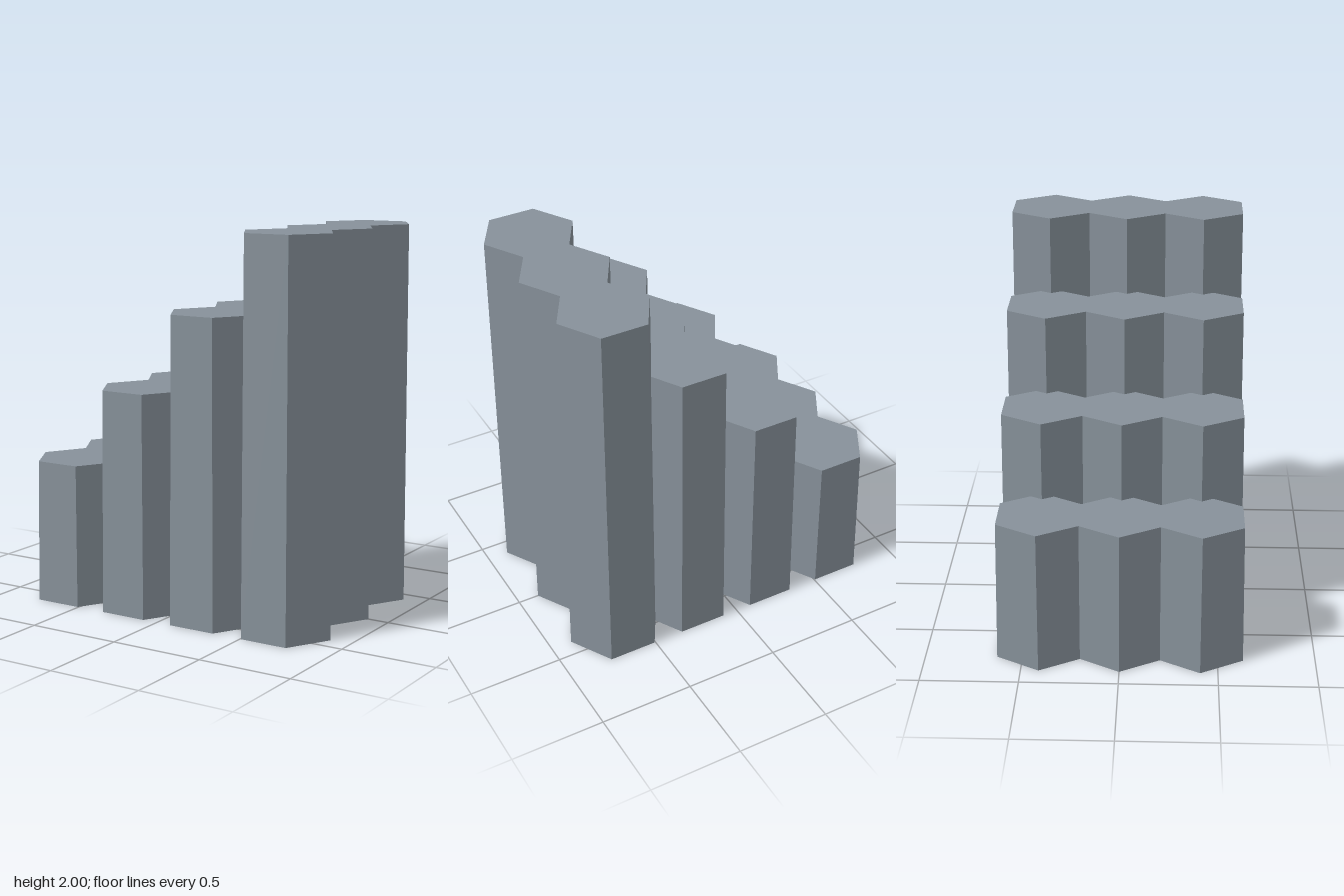
import * as THREE from 'three';

export function createModel() {
  const group = new THREE.Group();
  group.name = 'steppedStoneColumns';
  const stone = new THREE.MeshStandardMaterial({ color: 0x87919a, flatShading: true });
  stone.name = 'slate grey stone';

  const pitchX = 0.422, pitchZ = 0.41;
  const heights = [0.755, 1.17, 1.585, 2];

  // Rows of slightly tapered hexagonal columns, rising from right to left
  heights.forEach((height, i) => {
    const row = new THREE.Group();
    row.name = `columnRow${i + 1}`;
    const geometry = new THREE.CylinderGeometry(0.243, 0.255, height, 6);
    geometry.rotateY(Math.PI / 6); // corners point along x
    geometry.translate(0, height / 2, 0);
    for (let j = -1; j <= 1; j++) {
      const column = new THREE.Mesh(geometry, stone);
      column.name = `hexagonalColumn${j + 2}`;
      column.position.set((i - 1.5) * pitchX, 0, j * pitchZ);
      row.add(column);
    }
    group.add(row);
  });
  return group;
}
